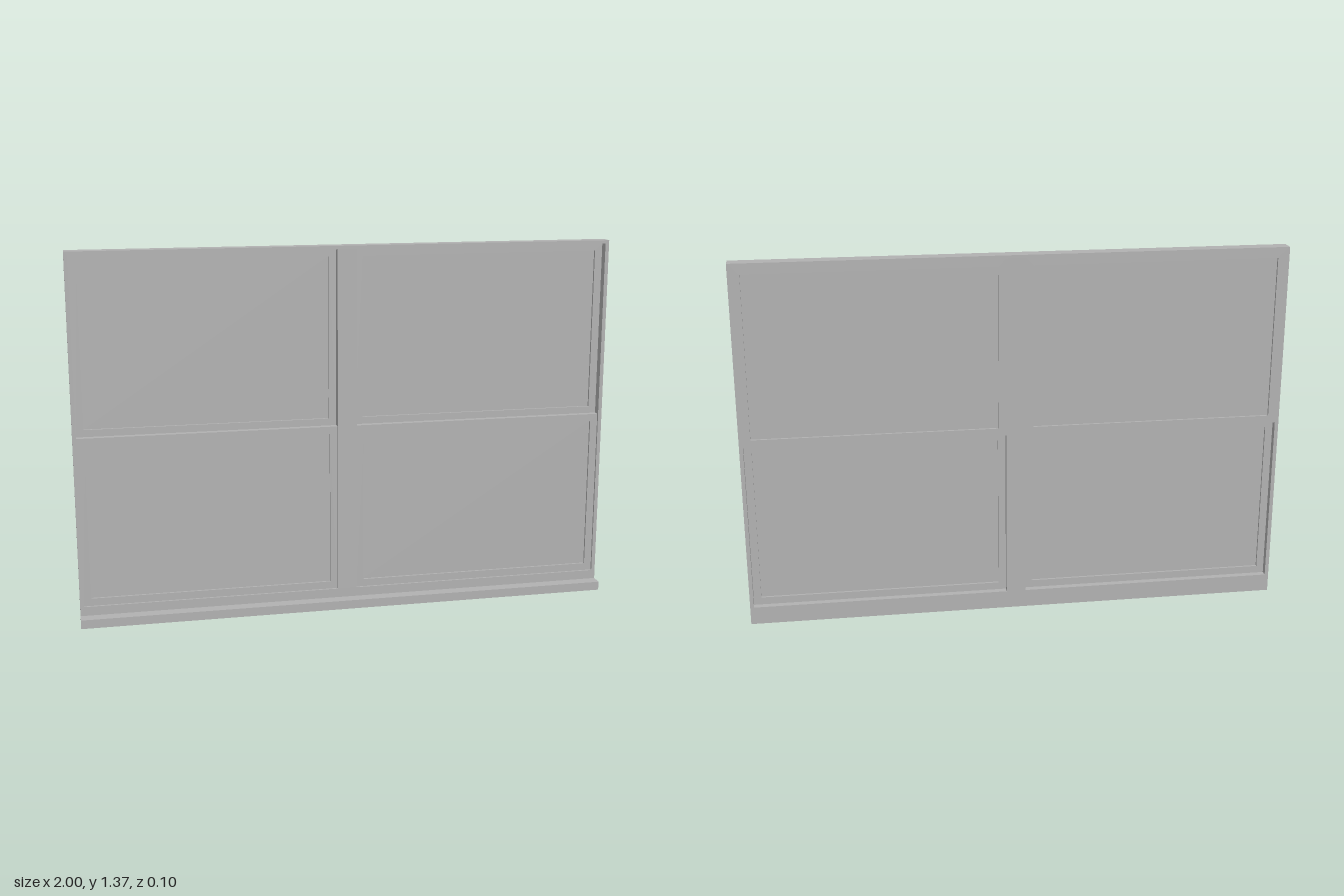
import * as THREE from 'three';

// Rectangle outline as a Shape or a Path
function rect(target, x0, y0, x1, y1) {
  target.moveTo(x0, y0);
  target.lineTo(x1, y0);
  target.lineTo(x1, y1);
  target.lineTo(x0, y1);
  target.closePath();
  return target;
}

// Flat panel with rectangular openings, from z0 to z1
function framePanel(outer, holes, z0, z1) {
  const shape = rect(new THREE.Shape(), ...outer);
  for (const hole of holes) shape.holes.push(rect(new THREE.Path(), ...hole));
  const geometry = new THREE.ExtrudeGeometry(shape, { depth: z1 - z0, bevelEnabled: false });
  return geometry.translate(0, 0, z0);
}

export function createModel() {
  const group = new THREE.Group();
  const grey = new THREE.MeshStandardMaterial({ color: 0xb2b2b2 });
  grey.name = 'grey';

  const add = (name, geometry, parent = group) => {
    const mesh = new THREE.Mesh(geometry, grey);
    mesh.name = name;
    parent.add(mesh);
  };

  // Outer frame with the central mullion
  const inner = 0.036, outer = 0.986;
  const bottom = 0.067, top = 1.353;
  add('frame', framePanel(
    [-1, 0.033, 1, 1.365],
    [[-outer, bottom, -inner, top], [inner, bottom, outer, top]],
    -0.05, 0.005));

  // Projecting sill
  add('sill', new THREE.BoxGeometry(2, 0.033, 0.1).translate(0, 0.0165, 0));

  // One sliding sash: rails, stiles and its pane
  function addSash(name, x0, y0, x1, y1, z0, z1) {
    const sash = new THREE.Group();
    sash.name = name;
    const w = 0.028;
    const opening = [x0 + w, y0 + w, x1 - w, y1 - w];
    add('sashFrame', framePanel([x0, y0, x1, y1], [opening], z0, z1), sash);
    const mid = (z0 + z1) / 2;
    add('pane', framePanel(opening, [], mid - 0.003, mid + 0.003), sash);
    group.add(sash);
  }

  // Upper sashes sit at the back, lower sashes in front of them
  for (const [side, x0, x1] of [['right', -outer, -inner], ['left', inner, outer]]) {
    addSash(side + 'UpperSash', x0, 0.697, x1, top, -0.05, -0.026);
    addSash(side + 'LowerSash', x0, bottom, x1, 0.699, -0.026, -0.003);
  }
  return group;
}
